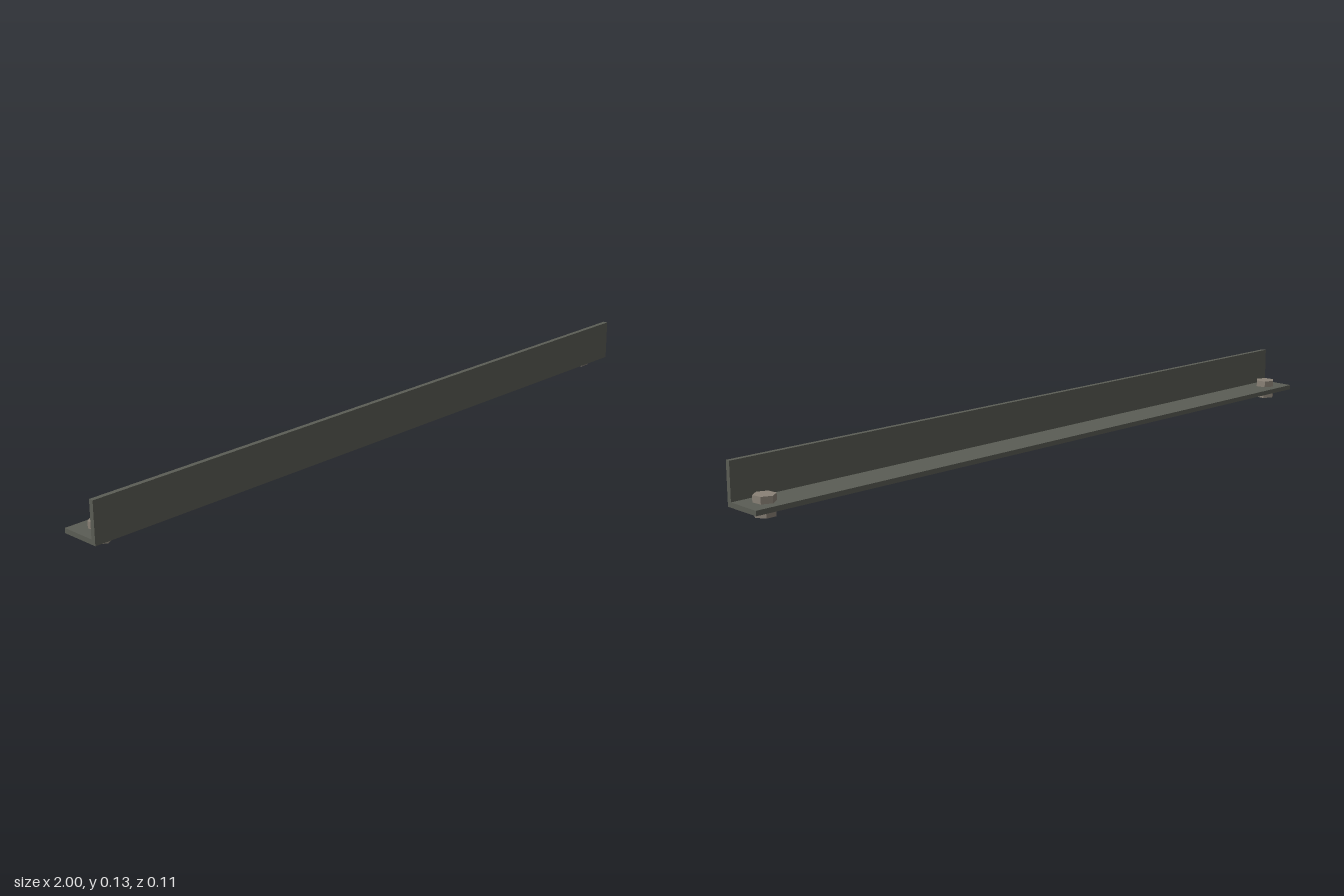
import * as THREE from 'three';

const LENGTH = 2;
const FLANGE_BOTTOM = 0.021, FLANGE_TOP = 0.034, WALL_TOP = 0.133;
const HALF_DEPTH = 0.056, WALL_BACK = 0.043;
const BOLT_X = 0.939, BOLT_Z = -0.0036, BOLT_RADIUS = 0.0287;

export function createModel() {
  const model = new THREE.Group();
  model.name = 'angleBar';

  const darkSteel = new THREE.MeshStandardMaterial({ color: 0x5b5d55 });
  darkSteel.name = 'dark steel';
  const boltSteel = new THREE.MeshStandardMaterial({ color: 0x8a8277 });
  boltSteel.name = 'warm grey steel';

  // L-shaped section, extruded along the bar (shape x runs towards the back)
  const section = new THREE.Shape([
    [-HALF_DEPTH, FLANGE_BOTTOM],
    [HALF_DEPTH, FLANGE_BOTTOM],
    [HALF_DEPTH, FLANGE_TOP],
    [-WALL_BACK, FLANGE_TOP],
    [-WALL_BACK, WALL_TOP],
    [-HALF_DEPTH, WALL_TOP],
  ].map(([x, y]) => new THREE.Vector2(x, y)));
  const barGeometry = new THREE.ExtrudeGeometry(section, { depth: LENGTH, bevelEnabled: false });
  barGeometry.translate(0, 0, -LENGTH / 2).rotateY(Math.PI / 2);
  const bar = new THREE.Mesh(barGeometry, darkSteel);
  bar.name = 'angleProfile';
  model.add(bar);

  // Hexagonal prism between two heights, turned by some degrees
  const hexagon = (name, bottom, top, turn) => {
    const geometry = new THREE.CylinderGeometry(BOLT_RADIUS, BOLT_RADIUS, top - bottom, 6).toNonIndexed();
    geometry.computeVertexNormals();
    const mesh = new THREE.Mesh(geometry, boltSteel);
    mesh.name = name;
    mesh.position.y = (bottom + top) / 2;
    mesh.rotation.y = THREE.MathUtils.degToRad(turn);
    return mesh;
  };

  // A bolt head above and a nut below the flange at each end
  for (const side of [-1, 1]) {
    const bolt = new THREE.Group();
    bolt.name = side > 0 ? 'leftBolt' : 'rightBolt';
    bolt.position.set(side * BOLT_X, 0, BOLT_Z);
    bolt.add(
      hexagon('boltHead', FLANGE_TOP, 0.052, 7),
      hexagon('nut', 0, FLANGE_BOTTOM, side > 0 ? 30 : 0),
    );
    model.add(bolt);
  }

  return model;
}
